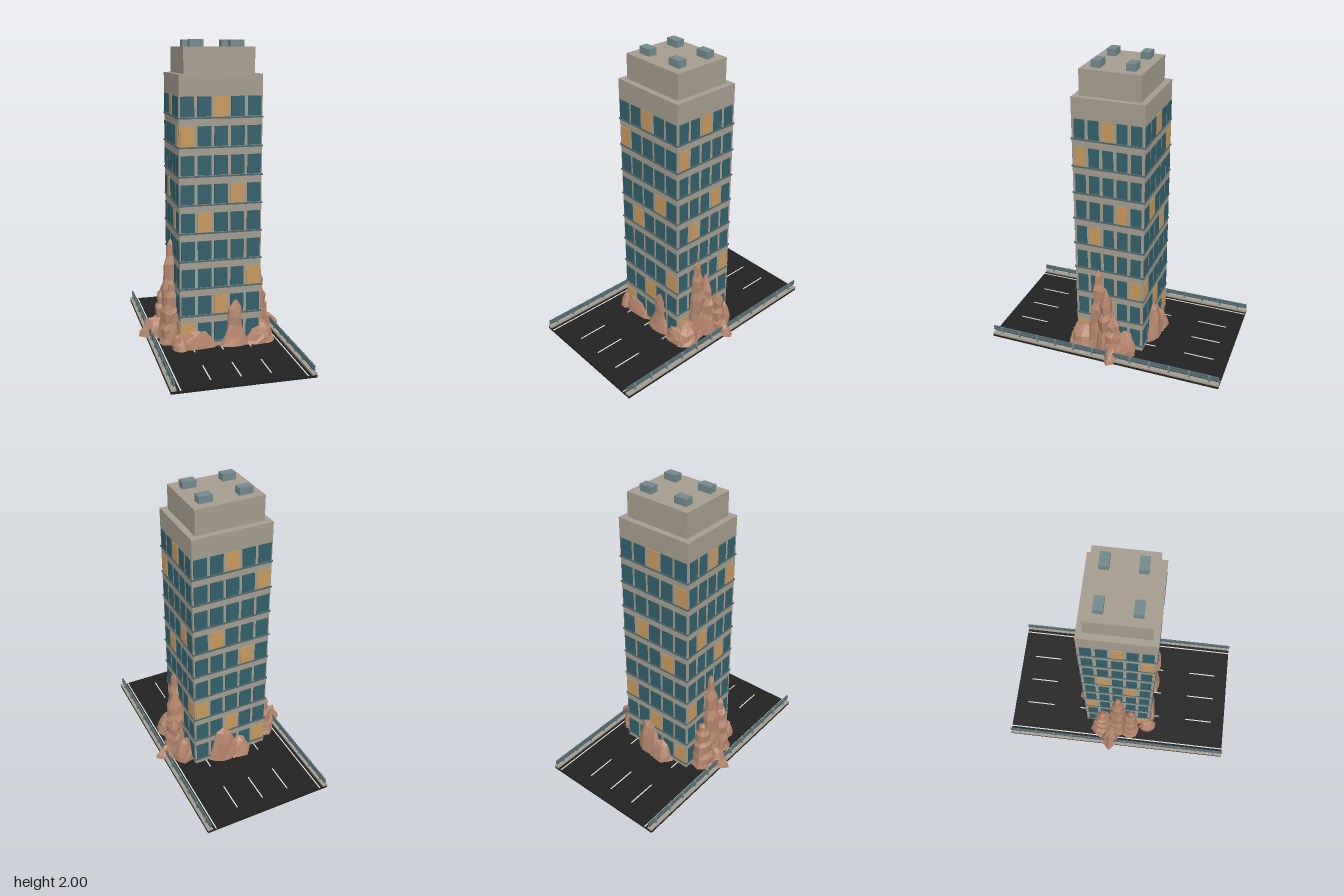
import * as THREE from 'three';

const mat = (name, color, flatShading = false) => {
  const m = new THREE.MeshStandardMaterial({ color, flatShading });
  m.name = name;
  return m;
};

export function createModel() {
  const root = new THREE.Group();
  root.name = 'towerOnRoad';
  const wall = mat('concrete', 0xa49c8e);
  const glass = mat('tealGlass', 0x32606b);
  const lit = mat('litWindow', 0xc8995c);
  const steel = mat('blueGreySteel', 0x72888c);
  const trim = mat('darkTrim', 0x4e686e);
  const asphalt = mat('asphalt', 0x222222);
  const paint = mat('roadPaint', 0xdeded8);
  const rockMat = mat('rock', 0xb5866d, true);

  const group = (name) => {
    const g = new THREE.Group();
    g.name = name;
    root.add(g);
    return g;
  };
  // Box given by its size and the centre of its base
  const box = (parent, name, m, w, h, d, x, y, z) => {
    const b = new THREE.Mesh(new THREE.BoxGeometry(w, h, d), m);
    b.position.set(x, y + h / 2, z);
    b.name = name;
    parent.add(b);
    return b;
  };

  // Road with lane dashes, edge lines and kerbs
  const road = group('road');
  box(road, 'roadSlab', asphalt, 0.9, 0.016, 1.63, 0, 0, 0);
  for (const x of [-0.19, 0, 0.19])
    for (const z of [-0.617, -0.206, 0.206, 0.617])
      box(road, 'laneDash', paint, 0.008, 0.002, 0.205, x, 0.016, z);

  // Guard rails along both edges
  const rails = group('guardRails');
  for (const s of [-1, 1]) {
    box(road, 'edgeLine', paint, 0.008, 0.002, 1.63, s * 0.392, 0.016, 0);
    box(road, 'kerb', wall, 0.034, 0.012, 1.63, s * 0.433, 0.016, 0);
    for (const y of [0.048, 0.066])
      box(rails, 'rail', trim, 0.012, 0.01, 1.63, s * 0.43, y, 0);
    for (let i = 0; i < 12; i++)
      box(rails, 'railPost', steel, 0.012, 0.052, 0.012, s * 0.433, 0.026, (i - 5.5) * 0.1365);
  }

  // Tower body, roof block and rooftop units
  const tower = group('tower');
  box(tower, 'towerBody', wall, 0.54, 1.774, 0.474, 0, 0.016, 0);
  box(tower, 'roofBlock', wall, 0.46, 0.165, 0.396, 0, 1.79, 0);
  for (const x of [-0.132, 0.132])
    for (const z of [-0.113, 0.11])
      box(tower, 'roofUnit', steel, 0.09, 0.045, 0.058, x, 1.955, z);

  // Nine floors of windows; one lit column per floor, or none
  const litColumn = [-2, 0, 2, null, -1, 1, null, -2, 0];
  litColumn.forEach((litCol, floor) => {
    const y = 0.06 + floor * 0.1838;
    box(tower, 'ledge', trim, 0.55, 0.01, 0.486, 0, y - 0.013, 0);
    for (let c = -2; c <= 2; c++) {
      const m = c === litCol ? lit : glass;
      const name = c === litCol ? 'litWindow' : 'window';
      for (const s of [-1, 1]) {
        box(tower, name, m, 0.089, 0.125, 0.008, c * 0.1085, y, s * 0.237);
        box(tower, name, m, 0.008, 0.125, 0.07, s * 0.27, y, -c * 0.0925);
      }
    }
  });

  // Craggy rock: stacked irregular rings, profile of [height, radius]
  const rocks = group('rocks');
  let seed = 7;
  const rand = () => (seed = (seed * 16807) % 2147483647) / 2147483647;
  const crag = (name, x, z, height, rx, rz, profile) => {
    const sides = 10;
    const pos = [], idx = [];
    const lobes = Array.from({ length: sides }, () => 0.84 + rand() * 0.3);
    for (const [h, r] of profile)
      for (let i = 0; i < sides; i++) {
        const a = (i / sides) * Math.PI * 2;
        const k = r * lobes[i] * (0.9 + rand() * 0.2);
        const dy = h > 0 ? (rand() - 0.5) * 0.025 : 0;
        pos.push(Math.cos(a) * k * rx, h * height + dy, Math.sin(a) * k * rz);
      }
    const top = pos.length / 3;
    pos.push(0, height, 0);
    const rows = profile.length;
    for (let j = 0; j < rows; j++)
      for (let i = 0; i < sides; i++) {
        const n = (i + 1) % sides, a = j * sides + i, b = j * sides + n;
        if (j === rows - 1) idx.push(a, top, b);
        else idx.push(a, a + sides, b, b, a + sides, b + sides);
      }
    const g = new THREE.BufferGeometry();
    g.setAttribute('position', new THREE.Float32BufferAttribute(pos, 3));
    g.setIndex(idx);
    g.computeVertexNormals();
    const mesh = new THREE.Mesh(g, rockMat);
    mesh.position.set(x, 0.016, z);
    mesh.name = name;
    rocks.add(mesh);
  };
  const spire = [[0, 1], [0.1, 0.86], [0.25, 0.8], [0.33, 0.66], [0.5, 0.72], [0.6, 0.5],
    [0.74, 0.52], [0.82, 0.3], [0.94, 0.24]];
  const mound = [[0, 1], [0.25, 0.9], [0.55, 0.75], [0.85, 0.5]];
  const knob = [[0, 1], [0.18, 0.75], [0.4, 0.48], [0.55, 0.5], [0.75, 0.44], [0.85, 0.25]];

  // Right side
  crag('rightSpire', 0.285, 0.07, 0.6, 0.085, 0.085, spire);
  crag('rightShoulder', 0.31, 0.01, 0.49, 0.1, 0.075, spire.slice(0, 7));
  crag('rightCrag', 0.355, -0.06, 0.32, 0.075, 0.085, spire.slice(0, 7));
  crag('rightFoot', 0.39, -0.06, 0.09, 0.1, 0.05, mound);
  crag('rightFrontMound', 0.29, 0.17, 0.14, 0.09, 0.1, mound);
  crag('rightBackMound', 0.31, -0.13, 0.17, 0.09, 0.08, mound);
  // Left side
  crag('leftSpire', -0.285, 0, 0.69, 0.11, 0.09, spire);
  crag('leftFrontCrag', -0.3, 0.1, 0.43, 0.08, 0.08, spire);
  crag('leftBackCrag', -0.31, -0.11, 0.35, 0.1, 0.09, spire);
  crag('leftFoot', -0.39, -0.05, 0.13, 0.1, 0.06, mound);
  // Front
  crag('frontSpire', 0.1, 0.235, 0.335, 0.105, 0.058, knob);
  crag('frontRightMound', 0.26, 0.23, 0.12, 0.1, 0.055, mound);
  crag('frontLeftMound', -0.16, 0.235, 0.12, 0.13, 0.04, mound);
  crag('frontCornerMound', -0.27, 0.225, 0.1, 0.06, 0.06, mound);
  // Back
  crag('backCrag', 0.06, -0.245, 0.265, 0.1, 0.065, mound);
  crag('backMound', -0.06, -0.245, 0.14, 0.1, 0.065, mound);

  return root;
}
